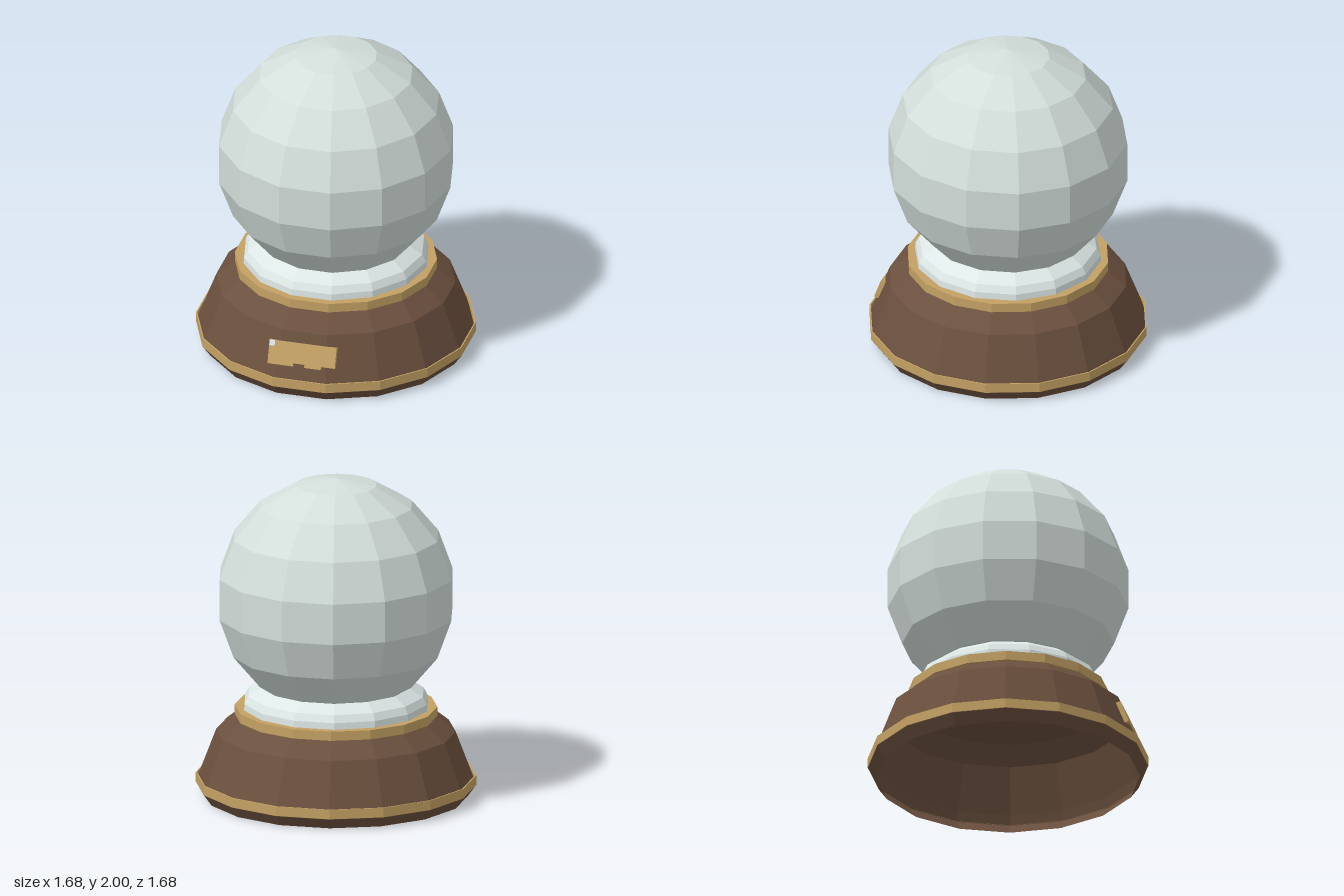
import * as THREE from 'three';

const material = (name, color) =>
  new THREE.MeshStandardMaterial({ name, color, flatShading: true, side: THREE.DoubleSide });

export function createModel() {
  const group = new THREE.Group();
  const wood = material('brown wood', 0x6b503e);
  const brass = material('brass', 0xc4a164);
  const glass = material('pale glass', 0xd3deda);
  const snow = material('snow', 0xe2edeb);

  const add = (name, geometry, mat) => {
    const mesh = new THREE.Mesh(geometry, mat);
    mesh.name = name;
    group.add(mesh);
    return mesh;
  };

  // Sixteen-sided lathe with flats facing the axes; profile gives flat-to-centre distances
  const ring16 = (profile) => {
    const k = 1 / Math.cos(Math.PI / 16);
    return new THREE.LatheGeometry(
      profile.map(([r, y]) => new THREE.Vector2(r * k, y)), 16, Math.PI / 16);
  };
  const band = (inner, outer, y0, y1) =>
    ring16([[inner, y0], [outer, y0], [outer, y1], [inner, y1]]);

  // Hollow wooden base, open below and closed on top
  add('base', ring16([[0.79, 0], [0.838, 0.068], [0.82, 0.13], [0.717, 0.405], [0.6, 0.5], [0, 0.5]]), wood);

  // Brass bands
  add('lowerBand', band(0.832, 0.84, 0.07, 0.13), brass);
  add('upperBand', band(0.53, 0.607, 0.502, 0.56), brass);

  // Snow collar under the globe, fourteen-sided with corners at the sides
  const collar = [[0.575, 0.53], [0.57, 0.6], [0.546, 0.645], [0.468, 0.697], [0.3, 0.7]];
  add('snowCollar', new THREE.LatheGeometry(
    collar.map(([r, y]) => new THREE.Vector2(r, y)), 14, Math.PI / 2), snow);

  // Faceted globe
  const globe = add('globe', new THREE.SphereGeometry(1, 14, 9), glass);
  globe.scale.set(0.735, 0.735, 0.747);
  globe.position.y = 1.265;

  // Name plate let into the sloping front, with small notches in its lower edge
  const plate = new THREE.Group();
  plate.name = 'frontPlate';
  plate.position.set(0, 0.27, 0.768);
  plate.rotation.x = -Math.atan(0.103 / 0.275);
  const outline = new THREE.Shape([
    [-0.212, -0.074], [-0.05, -0.074], [-0.05, -0.055], [0.02, -0.055], [0.02, -0.074],
    [0.125, -0.074], [0.125, -0.055], [0.212, -0.055], [0.212, 0.074], [-0.212, 0.074],
  ].map(([x, y]) => new THREE.Vector2(x, y)));
  const panel = new THREE.Mesh(
    new THREE.ExtrudeGeometry(outline, { depth: 0.036, bevelEnabled: false }), brass);
  panel.name = 'platePanel';
  panel.position.z = -0.03;
  const chip = new THREE.Mesh(new THREE.BoxGeometry(0.035, 0.035, 0.004), snow);
  chip.name = 'plateSnowChip';
  chip.position.set(-0.194, 0.056, 0.007);
  plate.add(panel, chip);
  group.add(plate);

  return group;
}
